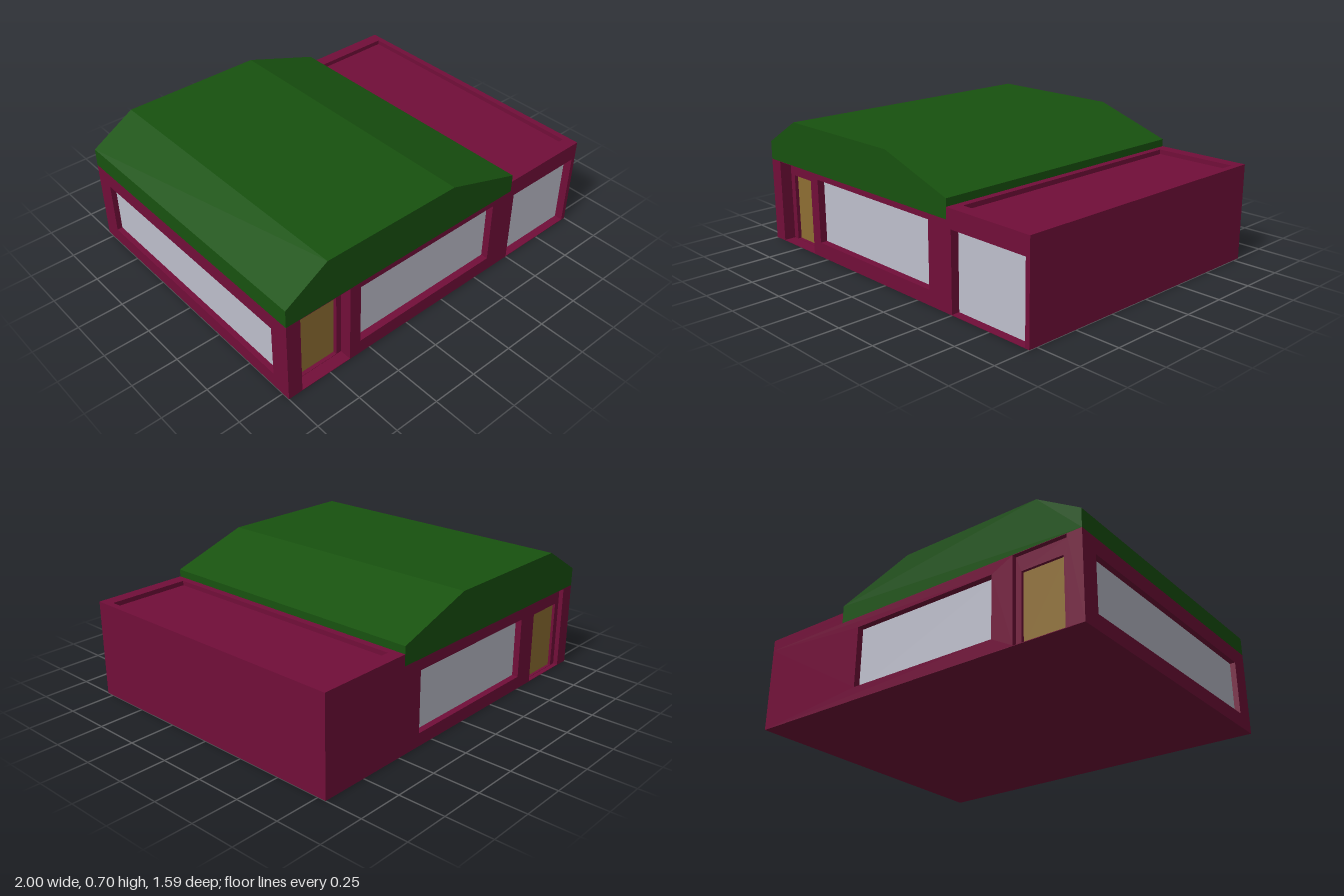
import * as THREE from 'three';

const W = 1, D = 0.795, EAVE = 0.46, T = 0.1, SPLIT = 0.47;

const mat = (color) => new THREE.MeshStandardMaterial({ color, flatShading: true });

export function createModel() {
  const house = new THREE.Group();
  house.name = 'house';
  const wall = mat(0x720e39), green = mat(0x18520f), glass = mat(0xbfc0cd), wood = mat(0x8f6f33);

  const add = (name, geo, material, parent = house) => {
    const mesh = new THREE.Mesh(geo, material);
    mesh.name = name;
    parent.add(mesh);
    return mesh;
  };
  // box given by its limits
  const box = (name, [x0, x1], [y0, y1], [z0, z1], material, parent) =>
    add(name, new THREE.BoxGeometry(x1 - x0, y1 - y0, z1 - z0), material, parent)
      .position.set((x0 + x1) / 2, (y0 + y1) / 2, (z0 + z1) / 2);
  const rect = (P, [x0, x1], [y0, y1]) => new P().setFromPoints(
    [[x0, y0], [x1, y0], [x1, y1], [x0, y1], [x0, y0]].map(([x, y]) => new THREE.Vector2(x, y)));
  // rectangular slab with rectangular openings, outer face on z = 0
  const panel = (xr, yr, openings, depth) => {
    const shape = rect(THREE.Shape, xr, yr);
    shape.holes = openings.map((o) => rect(THREE.Path, o.x, o.y));
    return new THREE.ExtrudeGeometry(shape, { depth, bevelEnabled: false }).translate(0, 0, -depth);
  };
  // wall with openings, each filled by a pane set back by o.d
  const facade = (name, xr, openings) => {
    const g = new THREE.Group();
    g.name = name;
    add(name + 'Panel', panel(xr, [0, EAVE], openings, T), wall, g);
    for (const o of openings) if (o.fill) box(o.name, o.x, o.y, [-T, -o.d], o.fill, g);
    house.add(g);
    return g;
  };
  // entrance recess: inner wall with a door set into it
  const entrance = (g, x, s, porchDepth, doorDepth) => {
    const door = { x: [-0.885, -0.655].map((v) => v * s).sort((a, b) => a - b), y: [0.005, 0.375] };
    add('entranceWall', panel(x, [0.003, EAVE], [door], T - porchDepth), wall, g).position.z = -porchDepth;
    box('door', door.x, door.y, [-T, -doorDepth], wood, g);
  };

  // solid core behind the walls
  box('core', [-W + T, W], [0, EAVE], [-D + T, D - T], wall);

  // front wall: entrance, wide window, garage door
  const front = facade('frontWall', [-W, W], [
    { x: [-0.92, -0.625], y: [0.003, 0.458] },
    { name: 'frontWindow', x: [-0.56, 0.34], y: [0.08, 0.43], d: 0.04, fill: glass },
    { name: 'garageDoor', x: [0.5, 0.975], y: [0.003, 0.42], d: 0.045, fill: glass },
  ]);
  front.position.z = D;
  entrance(front, [-0.92, -0.625], 1, 0.065, 0.085);

  // back wall: entrance and window, turned to face -z
  const back = facade('backWall', [-W, W], [
    { x: [0.625, 0.92], y: [0.003, 0.458] },
    { name: 'backWindow', x: [-0.35, 0.505], y: [0.07, 0.4], d: 0.035, fill: glass },
  ]);
  back.rotation.y = Math.PI;
  back.position.z = -D;
  entrance(back, [0.625, 0.92], -1, 0.025, 0.04);

  // side wall with a long window, turned to face -x
  const side = facade('sideWall', [-D + T, D - T], [
    { name: 'sideWindow', x: [-0.69, 0.685], y: [0.08, 0.375], d: 0.03, fill: glass },
  ]);
  side.rotation.y = -Math.PI / 2;
  side.position.x = -W;

  // flat garage roof with a raised rim
  box('garageRoof', [SPLIT, W], [EAVE, 0.495], [-D, D], wall);
  const rim = add('garageRoofRim', panel([SPLIT, W], [-D, D], [{ x: [0.508, 0.965], y: [-0.725, 0.725] }], 0.025), wall);
  rim.rotation.x = -Math.PI / 2;
  rim.position.y = 0.52;

  // main roof: one profile running front to back
  const profile = new THREE.Shape([
    [-W, EAVE], [SPLIT, EAVE], [SPLIT, 0.56], [0.03, 0.705], [-0.76, 0.705], [-W, 0.56],
  ].map(([x, y]) => new THREE.Vector2(x, y)));
  add('mainRoof', new THREE.ExtrudeGeometry(profile, { depth: 2 * D, bevelEnabled: false }).translate(0, 0, -D), green);

  return house;
}
